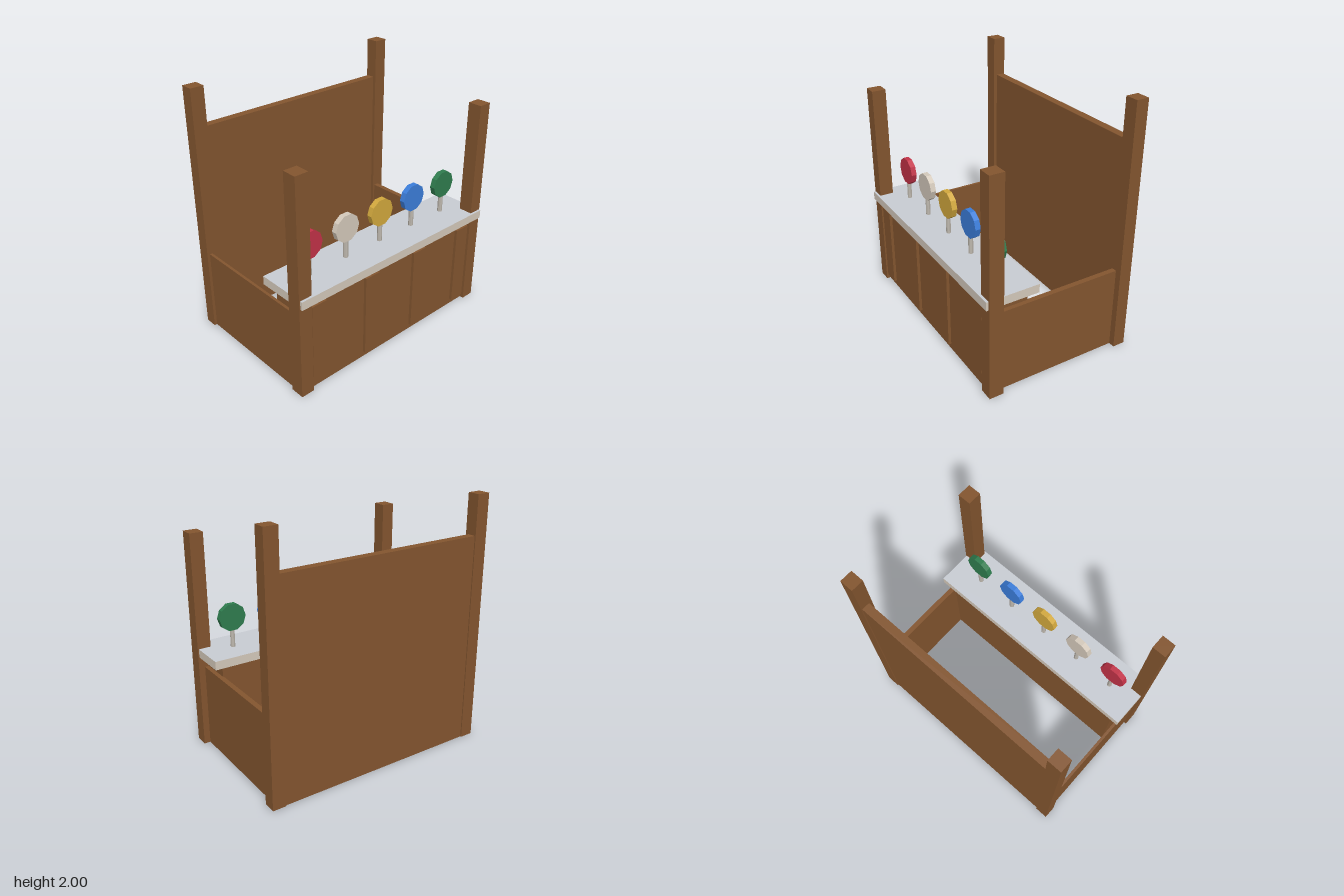
import * as THREE from 'three';

const mat = (name, color) => {
  const m = new THREE.MeshStandardMaterial({ color });
  m.name = name;
  m.flatShading = true;
  return m;
};

export function createModel() {
  const group = new THREE.Group();
  const wood = mat('wood', 0x83552f);
  const cream = mat('cream', 0xd4c9bb);
  const slate = mat('counter grey', 0xc8ccd3);
  const steel = mat('stick grey', 0xbcb6ac);
  const discColors = [
    mat('red', 0xc23247), mat('cream disc', 0xd4c9bb), mat('yellow', 0xd2a83d),
    mat('blue', 0x3b7dda), mat('green', 0x2f7c4e),
  ];

  // Box given by its min and max on each axis
  const box = (name, [x0, x1], [y0, y1], [z0, z1], material) => {
    const mesh = new THREE.Mesh(new THREE.BoxGeometry(x1 - x0, y1 - y0, z1 - z0), material);
    mesh.position.set((x0 + x1) / 2, (y0 + y1) / 2, (z0 + z1) / 2);
    mesh.name = name;
    group.add(mesh);
    return mesh;
  };

  // Corner posts: tall at the back, shorter at the front
  for (const [side, x] of [['right', -0.89], ['left', 0.89]]) {
    const span = [x - 0.054, x + 0.054];
    box(side + 'BackPost', span, [0, 2], [-0.617, -0.517], wood);
    box(side + 'FrontPost', span, [0, 1.735], [0.484, 0.597], wood);
  }

  // Walls
  box('backPanel', [-0.84, 0.84], [0, 1.69], [-0.608, -0.543], wood);
  box('rightSidePanel', [-0.922, -0.9], [0, 0.667], [-0.53, 0.5], wood);
  box('leftSidePanel', [0.853, 0.894], [0, 0.667], [-0.53, 0.5], wood);

  // Front cabinet with raised planks
  box('cabinet', [-0.86, 0.86], [0, 0.76], [0.24, 0.565], wood);
  for (const x of [-0.76, -0.254, 0.25, 0.754]) {
    box('frontPlank', [x - 0.066, x + 0.066], [0.045, 0.715], [0.56, 0.588], wood);
  }

  // Counter: cream slab with a grey top face
  box('counter', [-0.935, 0.935], [0.757, 0.825], [0.195, 0.616],
    [cream, cream, slate, cream, cream, cream]);

  // Row of ten-sided discs on sticks
  const stickGeo = new THREE.CylinderGeometry(0.019, 0.019, 0.17, 8);
  const discGeo = new THREE.CylinderGeometry(0.111, 0.111, 0.043, 10);
  discGeo.rotateY(Math.PI / 2).rotateX(Math.PI / 2);
  discColors.forEach((color, i) => {
    const lolly = new THREE.Group();
    lolly.name = 'lollipop';
    lolly.position.set((i - 2) * 0.344, 0, 0.395);
    const stick = new THREE.Mesh(stickGeo, steel);
    stick.name = 'stick';
    stick.position.y = 0.9;
    const disc = new THREE.Mesh(discGeo, color);
    disc.name = 'disc';
    disc.position.y = 1.069;
    lolly.add(stick, disc);
    group.add(lolly);
  });

  return group;
}
